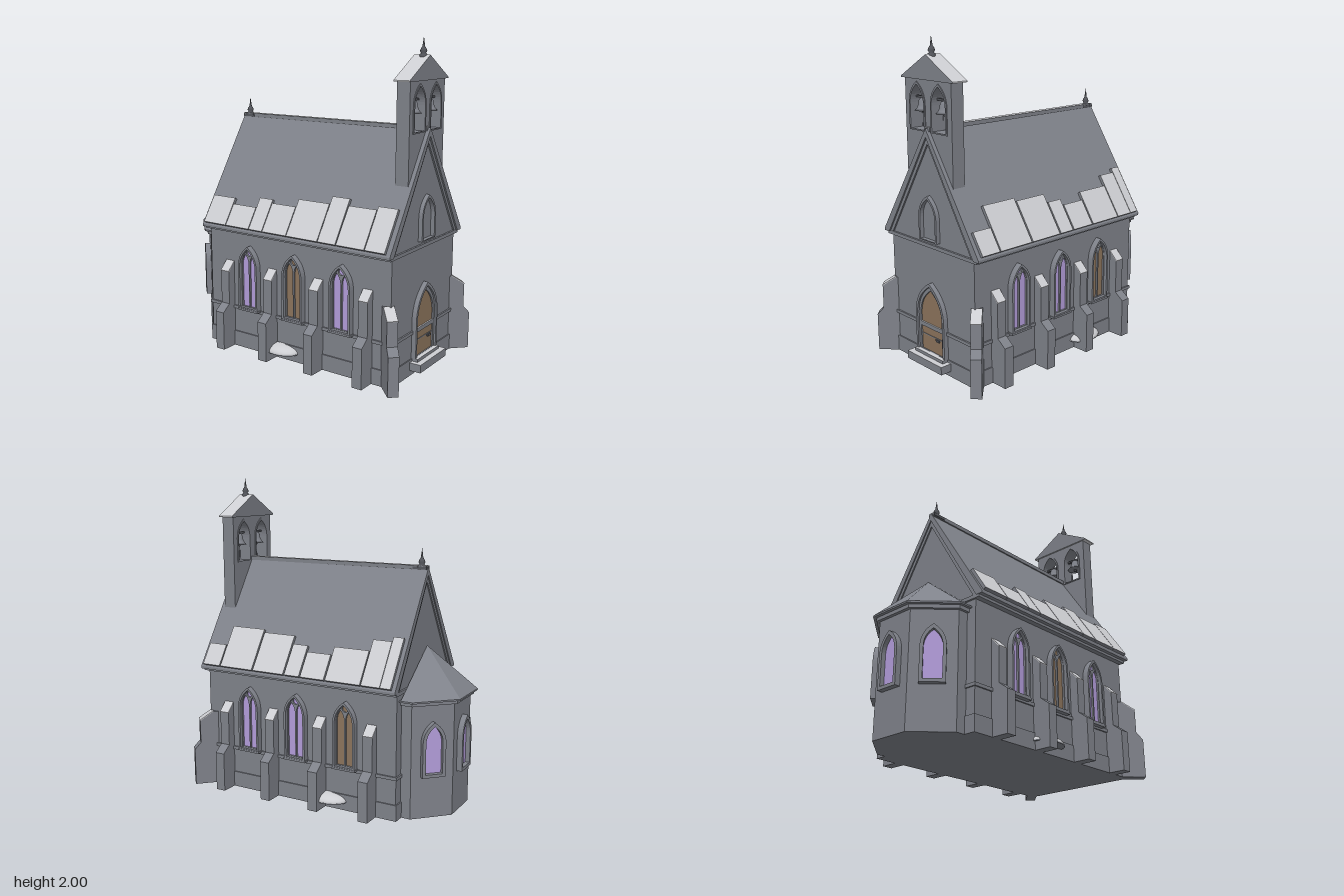
import * as THREE from 'three';

const mat = (name, color) => {
  const m = new THREE.MeshStandardMaterial({ color });
  m.name = name;
  return m;
};

export function createModel() {
  const stone = mat('stone', 0x7f828a);
  const pale = mat('pale weathering', 0xcdced2);
  const glass = mat('violet glass', 0xb39ddb);
  const wood = mat('brown wood', 0x8c745c);
  const iron = mat('dark iron', 0x55575d);
  const topPale = [stone, stone, pale, stone, stone, stone];

  const root = new THREE.Group();
  root.name = 'chapel';

  // ---- helpers ----
  const add = (parent, name, geo, material, x = 0, y = 0, z = 0) => {
    const m = new THREE.Mesh(geo, material);
    m.name = name;
    m.position.set(x, y, z);
    parent.add(m);
    return m;
  };
  const box = (parent, name, w, h, d, material, x, y, z) =>
    add(parent, name, new THREE.BoxGeometry(w, h, d), material, x, y, z);
  const group = (name, x, y, z, ry = 0) => {
    const g = new THREE.Group();
    g.name = name;
    g.position.set(x, y, z);
    g.rotation.y = ry;
    root.add(g);
    return g;
  };
  const poly = (pts) => new THREE.Shape(pts.map((p) => new THREE.Vector2(p[0], p[1])));
  const extrude = (shape, depth) =>
    new THREE.ExtrudeGeometry(shape, { depth, bevelEnabled: false, curveSegments: 8 });
  // upright prism from a plan of (x, -z) points
  const prism = (pts, y0, y1) => extrude(poly(pts), y1 - y0).rotateX(-Math.PI / 2).translate(0, y0, 0);
  // pointed arch outline
  const lancet = (hw, y0, spring, top, cx = 0, Type = THREE.Shape) => {
    const s = new Type();
    const mid = spring + (top - spring) * 0.62;
    s.moveTo(cx - hw, y0);
    s.lineTo(cx + hw, y0);
    s.lineTo(cx + hw, spring);
    s.quadraticCurveTo(cx + hw, mid, cx, top);
    s.quadraticCurveTo(cx - hw, mid, cx - hw, spring);
    s.lineTo(cx - hw, y0);
    return s;
  };
  const archFrame = (hw, y0, spring, top, t, depth, base = t) => {
    const s = lancet(hw, y0, spring, top);
    s.holes.push(lancet(hw - t, y0 + base, spring, top - t * 1.3, 0, THREE.Path));
    return extrude(s, depth);
  };

  // ---- nave walls, plinth and string courses ----
  const gable = poly([[-0.385, 0], [0.385, 0], [0.385, 0.78], [0, 1.44], [-0.385, 0.78]]);
  add(root, 'naveWalls', extrude(gable, 1.365), stone, 0, 0, -0.585);
  box(root, 'plinth', 0.786, 0.1, 1.38, stone, 0, 0.05, 0.0975);
  box(root, 'stringCourse', 0.79, 0.02, 1.385, stone, 0, 0.265, 0.0975);
  box(root, 'eavesCornice', 0.84, 0.022, 1.39, stone, 0, 0.78, 0.0975);

  // ---- roof: outer slab and inner gable moulding ----
  const chevron = (w, top, eave, drop) => poly([[0, top], [-w, eave], [-w, eave - 0.015],
    [-w + 0.045, eave - 0.015], [0, top - drop], [w - 0.045, eave - 0.015], [w, eave - 0.015], [w, eave]]);
  add(root, 'roof', extrude(chevron(0.445, 1.48, 0.8, 0.05), 1.4), stone, 0, 0, -0.6);
  add(root, 'gableMoulding', extrude(chevron(0.42, 1.45, 0.8, 0.06), 1.383), stone, 0, 0, -0.593);
  box(root, 'ridge', 0.042, 0.025, 1.38, topPale, 0, 1.474, 0.095);

  // ---- uneven pale slabs along the lower roof: [z start, z end, inner x] ----
  const slabs = {
    1: [[-0.575, -0.508, 0.262], [-0.505, -0.382, 0.278], [-0.375, -0.14, 0.318], [-0.13, 0.035, 0.347],
      [0.045, 0.15, 0.325], [0.16, 0.385, 0.295], [0.395, 0.637, 0.284], [0.645, 0.775, 0.357]],
    '-1': [[-0.58, -0.4, 0.335], [-0.395, -0.212, 0.357], [-0.207, -0.105, 0.32], [-0.1, 0.08, 0.333],
      [0.085, 0.31, 0.305], [0.315, 0.438, 0.278], [0.445, 0.635, 0.302], [0.64, 0.77, 0.29]],
  };
  const slope = Math.atan2(0.68, 0.445);
  for (const side of [1, -1]) {
    for (const [z0, z1, inner] of slabs[side]) {
      const outer = 0.438, cx = (inner + outer) / 2;
      const slab = box(root, 'roofSlab', (outer - inner) / Math.cos(slope), 0.03, z1 - z0, topPale,
        side * (cx + 0.004), 1.482 - cx * 0.68 / 0.445, (z0 + z1) / 2);
      slab.rotation.z = -side * slope;
    }
  }

  // ---- buttresses with pale sloped tops ----
  const buttress = (x, z, angle, top, reach, mid, shoulder) => {
    const g = group('buttress', x, 0, z, angle);
    const w = 0.065, low = top - 0.057;
    add(g, 'buttressBody', extrude(poly([[-0.06, 0], [reach, 0], [reach, shoulder - 0.045], [mid, shoulder],
      [mid, low], [0, top], [-0.06, top]]), w), stone, 0, 0, -w / 2);
    add(g, 'buttressCap', extrude(poly([[0, top], [mid, low], [mid + 0.003, low + 0.005], [0, top + 0.006]]), w),
      pale, 0, 0, -w / 2);
  };
  for (const z of [0.625, 0.275, -0.075, -0.423]) {
    buttress(0.385, z, 0, 0.565, 0.115, 0.055, 0.295);
    buttress(-0.385, z, Math.PI, 0.565, 0.115, 0.055, 0.295);
  }
  buttress(0.385, 0.765, -Math.PI / 4, 0.49, 0.127, 0.087, 0.285);
  buttress(-0.385, 0.765, -Math.PI * 0.75, 0.49, 0.127, 0.087, 0.285);

  // ---- side windows with two lights and a roundel ----
  const sideWindow = (side, z, pane) => {
    const g = group('sideWindow', side * 0.385, 0, z, side * Math.PI / 2);
    add(g, 'windowFrame', archFrame(0.075, 0.275, 0.55, 0.692, 0.013, 0.04), stone);
    add(g, 'windowPane', extrude(lancet(0.064, 0.285, 0.55, 0.677), 0.006), pane);
    const tracery = lancet(0.064, 0.285, 0.55, 0.677);
    for (const s of [-1, 1]) tracery.holes.push(lancet(0.026, 0.29, 0.57, 0.635, s * 0.031, THREE.Path));
    const ring = new THREE.Path();
    ring.absarc(0, 0.647, 0.02, 0, Math.PI * 2, false);
    tracery.holes.push(ring);
    add(g, 'tracery', extrude(tracery, 0.018), stone);
    box(g, 'sill', 0.16, 0.012, 0.045, stone, 0, 0.273, 0.02);
  };
  [0.45, 0.1, -0.25].forEach((z, i) => {
    sideWindow(1, z, i === 2 ? wood : glass);
    sideWindow(-1, z, i === 1 ? wood : glass);
  });

  // ---- low mounds beside the walls ----
  for (const [x, z] of [[0.385, -0.13], [-0.385, 0.0]]) {
    const dome = add(root, 'mound', new THREE.SphereGeometry(1, 20, 6, 0, Math.PI * 2, 0, Math.PI / 2),
      pale, x, 0.056, z);
    dome.scale.set(0.09, 0.045, 0.125);
    const base = add(root, 'moundBase', new THREE.CylinderGeometry(1, 1, 0.006, 20), stone, x, 0.054, z);
    base.scale.set(0.09, 1, 0.125);
  }

  // ---- entrance: door, arch and steps ----
  const door = group('entrance', 0, 0, 0.78);
  add(door, 'doorArch', archFrame(0.135, 0.085, 0.33, 0.55, 0.017, 0.03), stone);
  add(door, 'doorArchInner', archFrame(0.12, 0.085, 0.33, 0.527, 0.02, 0.018), stone);
  add(door, 'doorLeaf', extrude(lancet(0.102, 0.1, 0.33, 0.502), 0.009), wood);
  box(door, 'doorBar', 0.2, 0.026, 0.016, topPale, 0, 0.27, 0.01);
  box(door, 'doorRail', 0.2, 0.006, 0.012, stone, 0, 0.205, 0.006);
  box(door, 'doorHandle', 0.03, 0.014, 0.018, iron, 0.055, 0.195, 0.01);
  box(door, 'lowerStep', 0.33, 0.05, 0.08, topPale, 0, 0.06, 0.04);
  box(door, 'upperStep', 0.27, 0.022, 0.045, topPale, 0, 0.093, 0.022);

  // ---- blind arch in the front gable ----
  const blind = group('blindArch', 0, 0, 0.78);
  add(blind, 'blindArchFrame', archFrame(0.083, 0.812, 0.95, 1.085, 0.014, 0.026, 0.006), stone);

  // ---- bellcote ----
  const cote = group('bellcote', 0, 0, 0.69);
  const coteWall = poly([[-0.21, 1.12], [0.21, 1.12], [0.21, 1.762], [-0.21, 1.762]]);
  for (const s of [-1, 1]) {
    coteWall.holes.push(lancet(0.063, 1.462, 1.61, 1.722, s * 0.098, THREE.Path));
    for (const z of [-0.006, 0.079]) {
      add(cote, 'openingTrim', archFrame(0.073, 1.455, 1.61, 1.738, 0.012, 0.012, 0.008), stone, s * 0.098, 0, z);
    }
    box(cote, 'bellBar', 0.135, 0.012, 0.014, iron, s * 0.098, 1.645, 0.043);
    const bell = [[0, 1.64], [0.018, 1.638], [0.026, 1.625], [0.03, 1.6], [0.038, 1.582], [0.052, 1.568], [0, 1.568]];
    add(cote, 'bell', new THREE.LatheGeometry(bell.reverse().map((p) => new THREE.Vector2(...p)), 20),
      stone, s * 0.098, 0, 0.043);
    add(cote, 'clapper', new THREE.SphereGeometry(0.011, 10, 8), iron, s * 0.098, 1.563, 0.043);
  }
  add(cote, 'bellcoteWall', extrude(coteWall, 0.085), stone);
  add(cote, 'bellcoteCap', extrude(poly([[-0.235, 1.752], [0.235, 1.752], [0.235, 1.76], [0, 1.895], [-0.235, 1.76]]), 0.105),
    [stone, pale], 0, 0, -0.01);

  // ---- finials ----
  const finial = (y, z) => {
    const p = [[0.024, 0], [0.022, 0.018], [0.014, 0.024], [0.021, 0.036], [0.016, 0.05], [0.008, 0.062], [0, 0.12]];
    add(root, 'finial', new THREE.LatheGeometry(p.map((q) => new THREE.Vector2(...q)), 12), iron, 0, y, z);
  };
  finial(1.88, 0.74);
  finial(1.47, -0.555);
  box(root, 'finialBase', 0.05, 0.014, 0.09, iron, 0, 1.472, -0.55);

  // ---- apse ----
  const plan = (w, z1, b, z2) => [[w, 0.55], [w, z1], [b, z2], [-b, z2], [-w, z1], [-w, 0.55]];
  add(root, 'apseWalls', prism(plan(0.32, 0.65, 0.13, 0.84), 0, 0.71), stone);
  add(root, 'apseCornice', prism(plan(0.337, 0.66, 0.137, 0.86), 0.7, 0.728), stone);
  add(root, 'apseEaves', prism(plan(0.355, 0.67, 0.145, 0.88), 0.722, 0.732), stone);
  const eaves = plan(0.355, 0.67, 0.145, 0.88).map(([x, z]) => [x, 0.732, -Math.max(z, 0.595)]);
  const tris = [];
  for (let i = 0; i < eaves.length - 1; i++) tris.push(...eaves[i], ...eaves[i + 1], 0, 1.0, -0.6);
  const apseRoof = new THREE.BufferGeometry();
  apseRoof.setAttribute('position', new THREE.Float32BufferAttribute(tris, 3));
  apseRoof.computeVertexNormals();
  add(root, 'apseRoof', apseRoof, stone);

  // apse windows on the back and both angled faces
  for (const [x, z, ry] of [[0, -0.84, Math.PI], [0.225, -0.745, Math.PI * 0.75], [-0.225, -0.745, -Math.PI * 0.75]]) {
    const g = group('apseWindow', x, 0, z, ry);
    add(g, 'apseWindowFrame', archFrame(0.073, 0.262, 0.47, 0.6, 0.02, 0.035), stone);
    add(g, 'apseWindowPane', extrude(lancet(0.055, 0.28, 0.47, 0.576), 0.007), glass);
  }

  return root;
}
